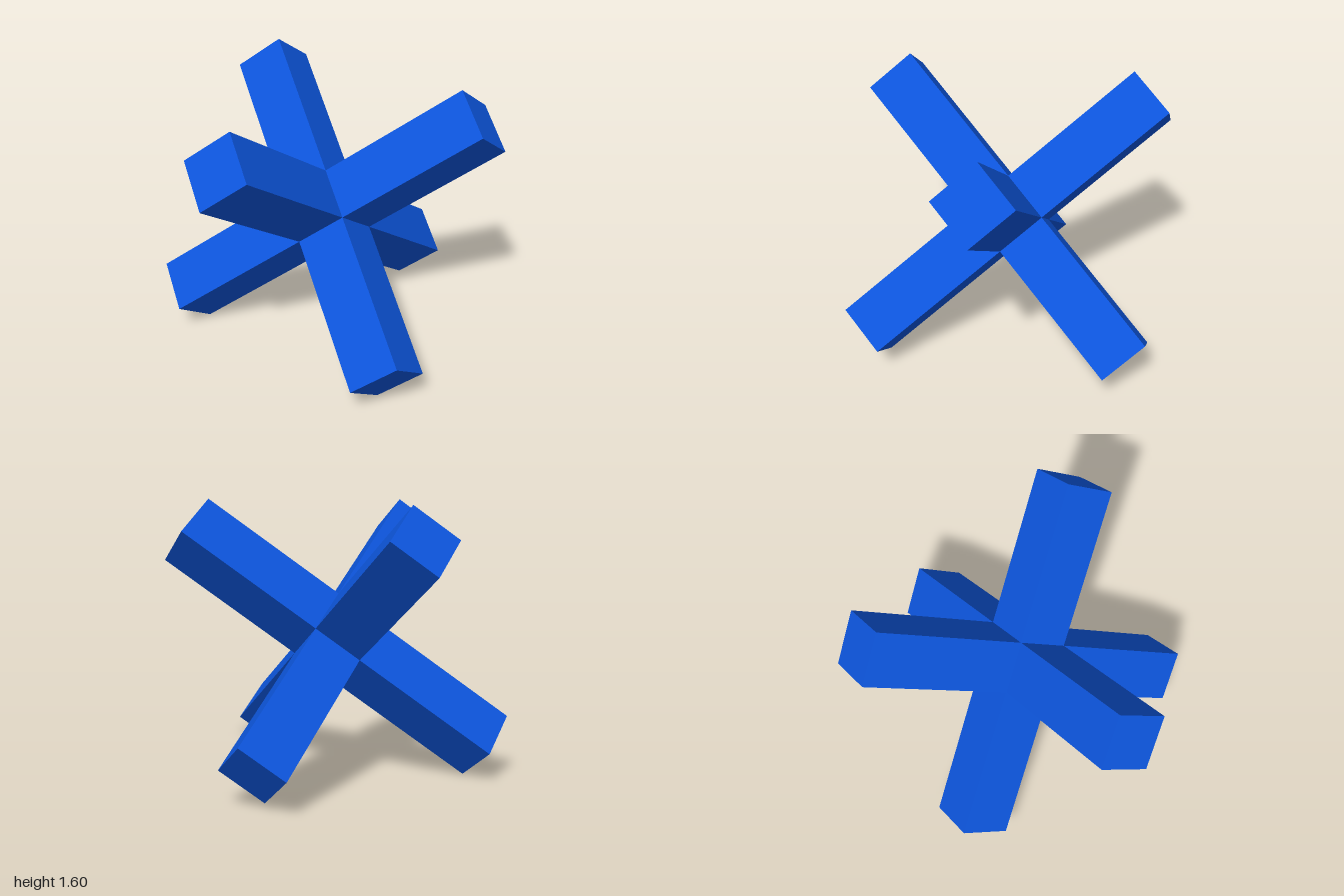
import * as THREE from 'three';

export function createModel() {
  const model = new THREE.Group();
  model.name = 'jack';
  const blue = new THREE.MeshStandardMaterial({ color: 0x0d55dc });
  blue.name = 'blue';

  const length = 2.13;
  const width = 0.304;

  // Three square bars crossing at right angles through one centre
  const cross = new THREE.Group();
  cross.name = 'crossedBars';
  const bars = [
    ['firstBar', [length, width, width]],
    ['secondBar', [width, length, width]],
    ['thirdBar', [width, width, length]],
  ];
  for (const [name, size] of bars) {
    const bar = new THREE.Mesh(new THREE.BoxGeometry(...size), blue);
    bar.name = name;
    cross.add(bar);
  }

  // Tip the cross so that it rests on three bar ends
  const first = new THREE.Vector3(0.43, 0.616, -0.755).normalize();
  const second = new THREE.Vector3(-0.88, 0.6, -0.012);
  second.addScaledVector(first, -second.dot(first)).normalize();
  const third = new THREE.Vector3().crossVectors(first, second);
  cross.quaternion.setFromRotationMatrix(new THREE.Matrix4().makeBasis(first, second, third));
  cross.position.y = 0.795;
  model.add(cross);
  return model;
}
